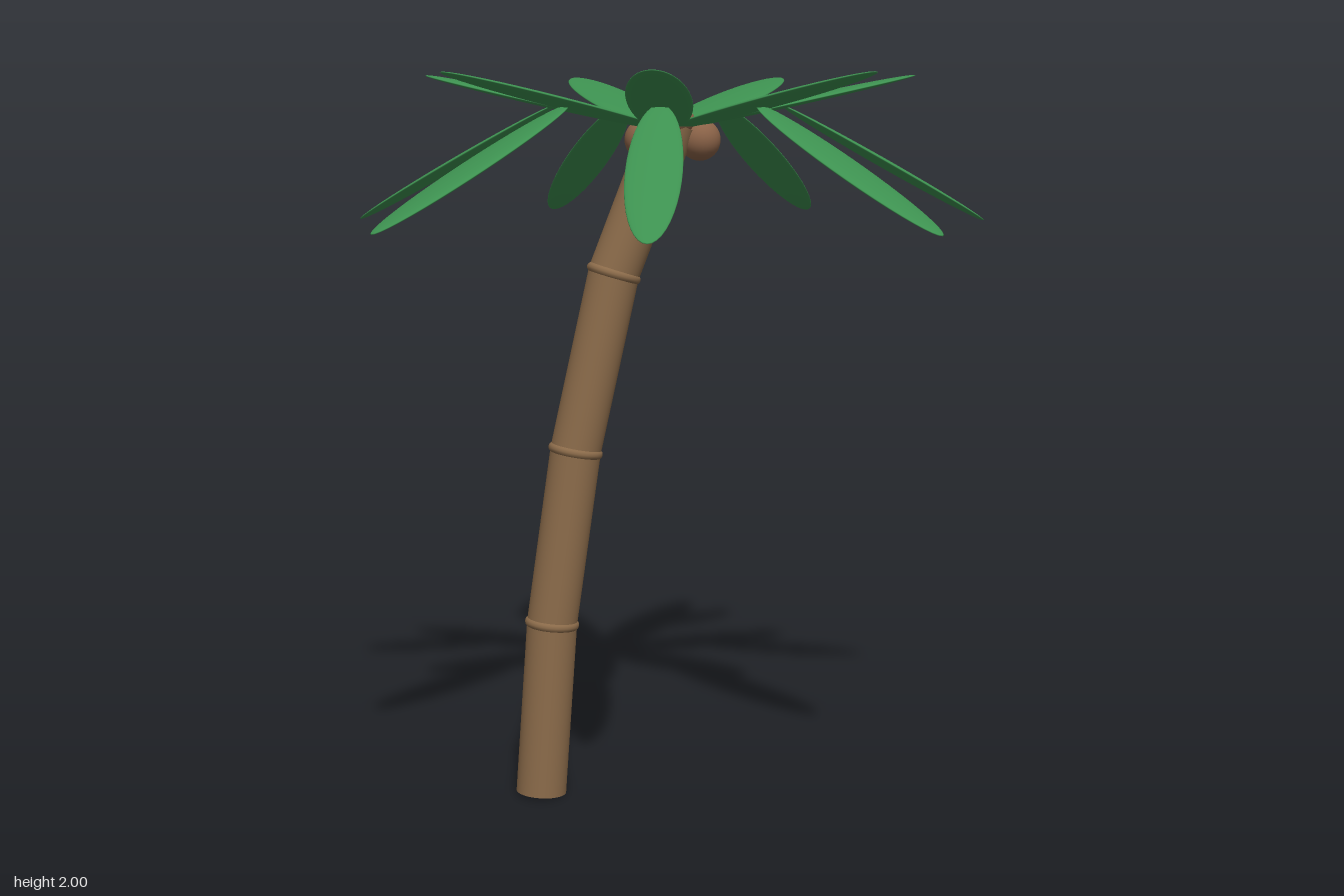
import * as THREE from 'three';

const HUB = new THREE.Vector3(-0.047, 1.85, 0);
const UP = new THREE.Vector3(0, 1, 0);

export function createModel() {
  const palm = new THREE.Group();
  palm.name = 'palmTree';

  const bark = new THREE.MeshStandardMaterial({ color: 0x8b6b4a });
  bark.name = 'bark';
  const nutBrown = new THREE.MeshStandardMaterial({ color: 0x8b6348 });
  nutBrown.name = 'coconutBrown';
  const leafGreen = new THREE.MeshStandardMaterial({ color: 0x3d9150 });
  leafGreen.name = 'leafGreen';

  const add = (parent, name, geometry, material, position) => {
    const mesh = new THREE.Mesh(geometry, material);
    mesh.name = name;
    mesh.position.copy(position);
    parent.add(mesh);
    return mesh;
  };

  // Leaning trunk: straight segments with a ring over each joint
  const joints = [[-0.408, 0.005], [-0.373, 0.49], [-0.303, 0.975], [-0.194, 1.463], [-0.035, 1.87]]
    .map(([x, y]) => new THREE.Vector3(x, y, 0));
  const trunk = new THREE.Group();
  trunk.name = 'trunk';
  palm.add(trunk);
  const ringGeometry = new THREE.TorusGeometry(0.062, 0.014, 12, 40).rotateX(Math.PI / 2);
  for (let i = 0; i < joints.length - 1; i++) {
    const a = joints[i], b = joints[i + 1];
    const axis = b.clone().sub(a);
    const length = axis.length();
    axis.normalize();
    const segment = add(trunk, 'trunkSegment', new THREE.CylinderGeometry(0.07, 0.07, length, 40),
      bark, a.clone().add(b).multiplyScalar(0.5));
    segment.quaternion.setFromUnitVectors(UP, axis);
    if (i > 0) {
      const previous = a.clone().sub(joints[i - 1]).normalize();
      const ring = add(trunk, 'trunkRing', ringGeometry, bark, a);
      ring.quaternion.setFromUnitVectors(UP, previous.add(axis).normalize());
    }
  }

  // Seven fronds, each a rising inner blade and a drooping outer blade
  const blade = (halfLength, halfWidth) =>
    new THREE.SphereGeometry(1, 40, 24).scale(halfLength, 0.011, halfWidth);
  const innerBlade = blade(0.357, 0.085);
  const outerBlade = blade(0.335, 0.071);
  for (let i = 0; i < 7; i++) {
    const frond = new THREE.Group();
    frond.name = 'frond';
    frond.position.copy(HUB);
    frond.rotation.y = (i * Math.PI * 2) / 7;
    palm.add(frond);
    add(frond, 'innerBlade', innerBlade, leafGreen, new THREE.Vector3(0.35, 0.075, 0)).rotation.z = 0.21;
    add(frond, 'outerBlade', outerBlade, leafGreen, new THREE.Vector3(0.612, -0.092, 0)).rotation.z = -0.5;
  }

  // Flattened crown cap
  add(palm, 'crownCap', new THREE.SphereGeometry(0.079, 36, 24).scale(1, 0.6, 1), nutBrown,
    HUB.clone().setY(1.873));

  // Three coconuts hanging round the crown
  for (let i = 0; i < 3; i++) {
    const angle = (i * Math.PI * 2) / 3;
    add(palm, 'coconut', new THREE.SphereGeometry(0.057, 32, 20), nutBrown,
      new THREE.Vector3(HUB.x + 0.092 * Math.cos(angle), 1.824, 0.092 * Math.sin(angle)));
  }

  return palm;
}
